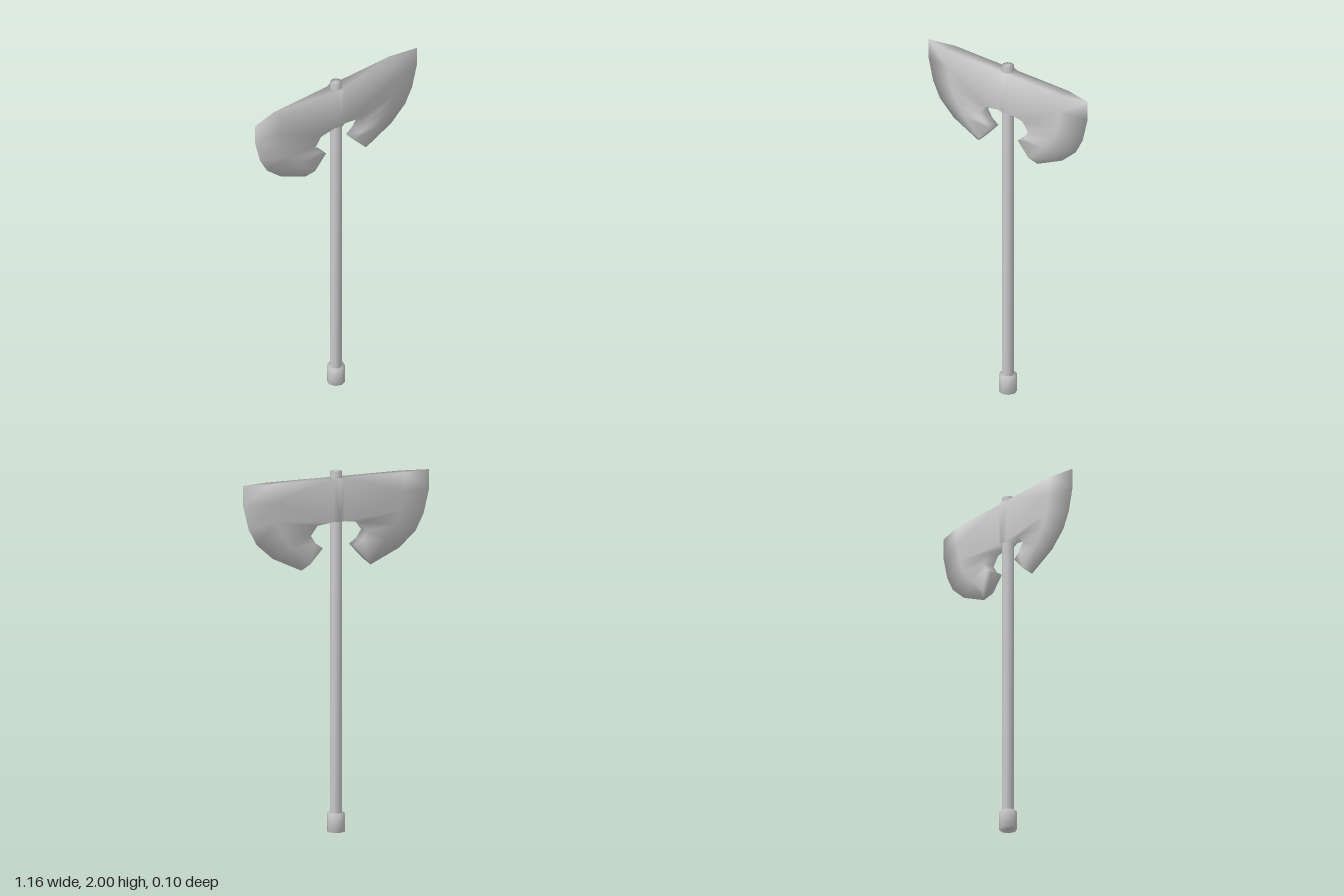
import * as THREE from 'three';
import { mergeVertices } from 'three/addons/utils/BufferGeometryUtils.js';

const material = new THREE.MeshStandardMaterial({ color: 0xcccccc });

// Weld shared corners so the shading runs smoothly over every edge
function soften(geometry) {
  geometry.deleteAttribute('normal');
  geometry.deleteAttribute('uv');
  const welded = mergeVertices(geometry);
  welded.computeVertexNormals();
  return welded;
}

// Eight-sided rod between two heights
function rod(name, radius, bottom, top) {
  const geometry = new THREE.CylinderGeometry(radius, radius, top - bottom, 8);
  geometry.translate(0, (top + bottom) / 2, 0);
  const mesh = new THREE.Mesh(soften(geometry), material);
  mesh.name = name;
  return mesh;
}

function bladeGeometry() {
  const T = 0.035, RIDGE = 0.05, TOP = 1.965, LOW = 1.725;
  // Matching outlines, from the top down to the lower tip
  const edge = [[0.58, TOP], [0.58, 1.855], [0.545, 1.72], [0.495, 1.63], [0.395, 1.545], [0.215, 1.465]];
  const bevel = [[0.415, TOP], [0.412, 1.86], [0.39, 1.755], [0.355, 1.68], [0.29, 1.6], [0.18, 1.502]];
  const inner = [[0.035, TOP], [0.035, LOW], [0.135, 1.712], [0.175, 1.66], [0.145, 1.615], [0.1, 1.585]];

  const positions = [];
  const polygon = (...p) => {
    for (let i = 1; i < p.length - 1; i++) {
      const tri = [p[0], p[i], p[i + 1]];
      tri.forEach(v => positions.push(...v));
      // mirrored half, with the corners reversed
      tri.reverse().forEach(([x, y, z]) => positions.push(-x, y, z));
    }
  };

  // Wing: five-cornered sections swept from the top to the tip
  const sections = edge.map((e, i) => [
    [...e, 0], [...bevel[i], T], [...inner[i], T], [...inner[i], -T], [...bevel[i], -T],
  ]);
  for (let i = 0; i < 5; i++) {
    for (let k = 0; k < 5; k++) {
      if (i === 0 && k === 2) continue; // joins the hub here
      const n = (k + 1) % 5, a = sections[i], b = sections[i + 1];
      polygon(a[k], a[n], b[n], b[k]);
    }
  }
  polygon(...[...sections[0]].reverse());
  polygon(...sections[5]);

  // Ridged hub joining the two wings
  const [, , f0, b0] = sections[0], [, , f1, b1] = sections[1];
  const cf0 = [0, TOP, RIDGE], cb0 = [0, TOP, -RIDGE];
  const cf1 = [0, LOW, RIDGE], cb1 = [0, LOW, -RIDGE];
  polygon(f0, cf0, cf1, f1);
  polygon(b0, b1, cb1, cb0);
  polygon(b0, cb0, cf0, f0);
  polygon(f1, cf1, cb1, b1);

  const geometry = new THREE.BufferGeometry();
  geometry.setAttribute('position', new THREE.Float32BufferAttribute(positions, 3));
  return soften(geometry);
}

export function createModel() {
  const group = new THREE.Group();
  group.name = 'doubleAxe';
  const blade = new THREE.Mesh(bladeGeometry(), material);
  blade.name = 'doubleBlade';
  group.add(
    rod('handle', 0.034, 0.05, 2),
    rod('pommel', 0.05, 0, 0.105),
    blade,
  );
  return group;
}
